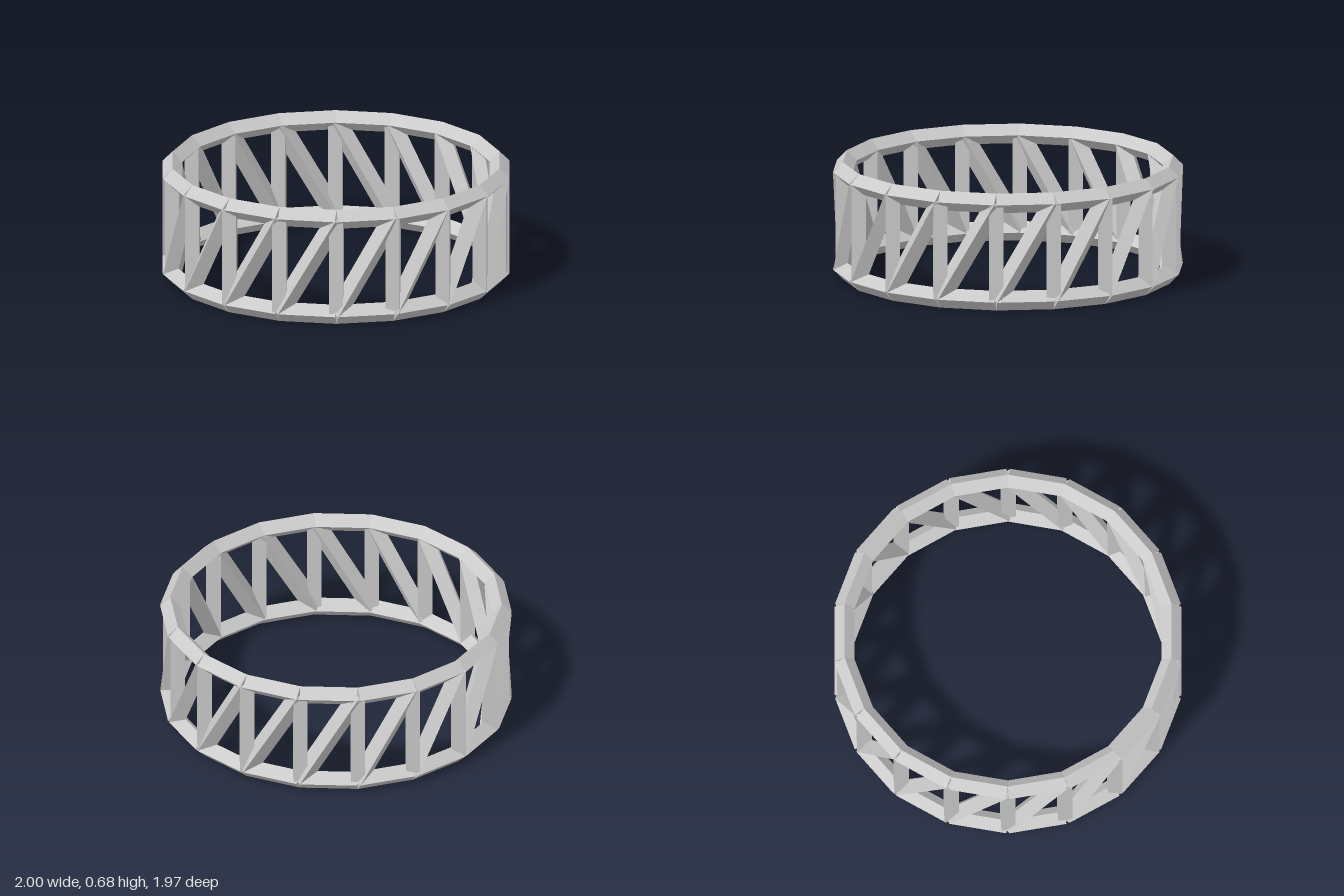
import * as THREE from 'three';

const SIDES = 18;
const HALF = 0.057;                                  // half diagonal of the square bar
const RADIUS = 1 - HALF * Math.cos(Math.PI / SIDES); // radius of the joints
const LOW = HALF, HIGH = 0.68 - HALF;

const material = new THREE.MeshStandardMaterial({ color: 0xcccccc, flatShading: true });

// Joint number i on the ring at height y
function joint(i, y) {
  const a = (i / SIDES) * Math.PI * 2;
  return new THREE.Vector3(Math.cos(a) * RADIUS, y, Math.sin(a) * RADIUS);
}

// Square bar set on its edge, running between two joints
function bar(name, from, to) {
  const dir = to.clone().sub(from);
  const geometry = new THREE.CylinderGeometry(HALF, HALF, dir.length(), 4);
  const along = dir.normalize();
  // sideways axis stays level; upright bars keep the world axes
  const side = new THREE.Vector3(0, 1, 0).cross(along);
  if (side.length() < 0.001) side.set(1, 0, 0);
  side.normalize();
  const third = side.clone().cross(along);
  geometry.applyMatrix4(new THREE.Matrix4().makeBasis(side, along, third));
  const mesh = new THREE.Mesh(geometry, material);
  mesh.name = name;
  mesh.position.copy(from).add(to).multiplyScalar(0.5);
  return mesh;
}

export function createModel() {
  const model = new THREE.Group();
  model.name = 'ringTruss';

  const parts = {};
  for (const name of ['bottomRing', 'topRing', 'uprights', 'diagonals']) {
    parts[name] = new THREE.Group();
    parts[name].name = name;
    model.add(parts[name]);
  }

  for (let i = 0; i < SIDES; i++) {
    // Ring chords
    parts.bottomRing.add(bar('bottomChord', joint(i, LOW), joint(i + 1, LOW)));
    parts.topRing.add(bar('topChord', joint(i, HIGH), joint(i + 1, HIGH)));
    // Upright post at each joint
    parts.uprights.add(bar('upright', joint(i, LOW), joint(i, HIGH)));
    // One brace per bay, all leaning the same way
    parts.diagonals.add(bar('diagonal', joint(i + 1, LOW), joint(i, HIGH)));
  }
  return model;
}
